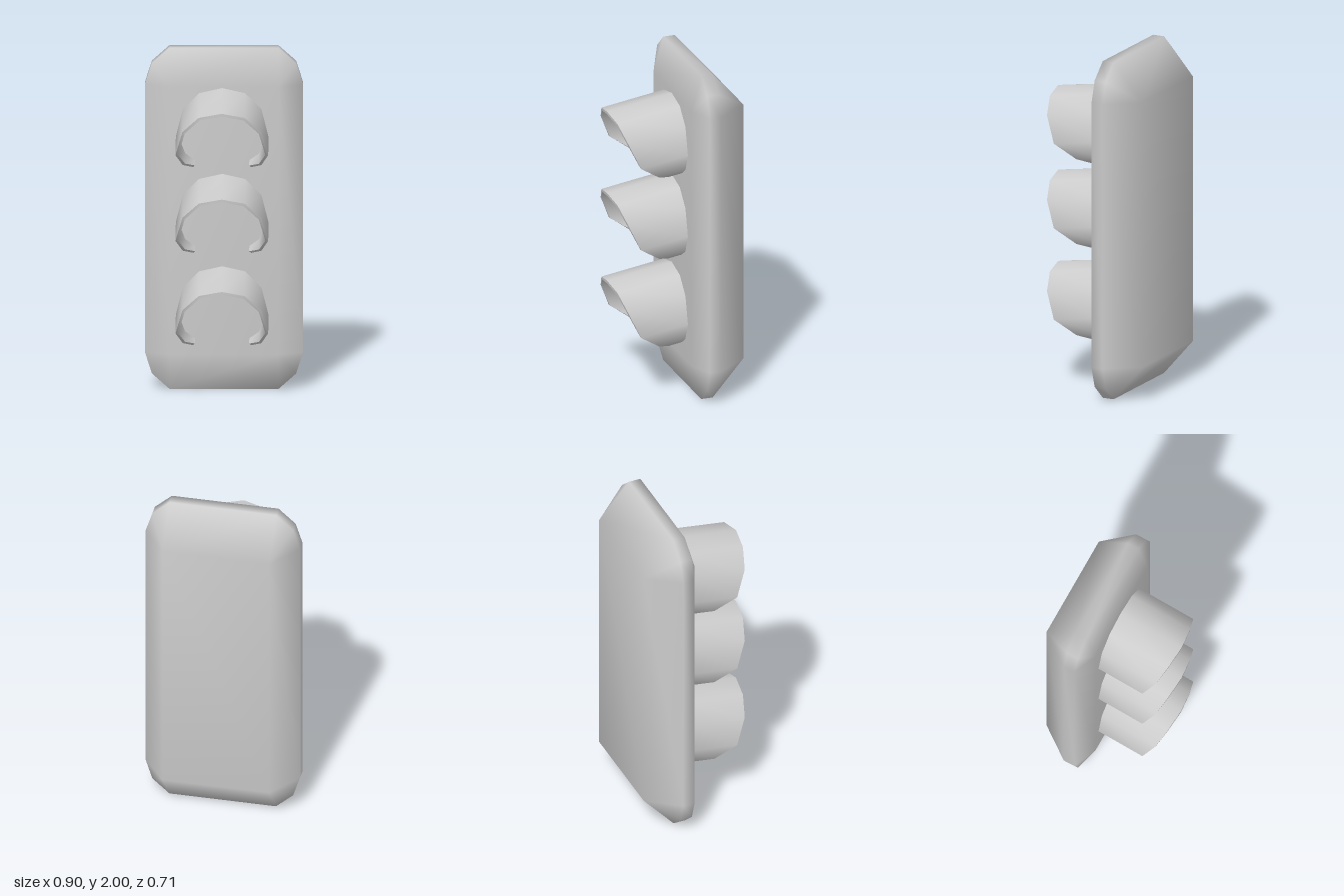
import * as THREE from 'three';
import { mergeGeometries, mergeVertices } from 'three/addons/utils/BufferGeometryUtils.js';

// Skin a list of equally long rows of [x, y, z] points
function skin(rows, closed = false) {
  const n = rows[0].length;
  const index = [];
  for (let r = 0; r < rows.length - 1; r++) {
    for (let i = 0; i < (closed ? n : n - 1); i++) {
      const j = (i + 1) % n;
      const a = r * n + i, b = r * n + j, c = a + n, d = b + n;
      index.push(a, c, b, b, c, d);
    }
  }
  const g = new THREE.BufferGeometry();
  g.setAttribute('position', new THREE.Float32BufferAttribute(rows.flat(2), 3));
  g.setIndex(index);
  return g;
}

// Housing: rounded outline bevelled towards smaller front and back panels
function housingGeometry() {
  const corner = [[0.14, 0], [0.1, 0.125], [0, 0.215]];
  const ring = (z, k) => {
    const pts = [];
    for (const [sx, sy] of [[1, 1], [-1, 1], [-1, -1], [1, -1]]) {
      const arc = sx * sy > 0 ? corner : [...corner].reverse();
      for (const [dx, dy] of arc) pts.push([sx * (0.312 + k * dx), 1 + sy * (0.785 + k * dy), z]);
    }
    return pts;
  };
  const rings = [ring(-0.04, 0), ring(-0.1, 1), ring(-0.17, 1), ring(-0.357, 0)];
  const sides = skin(rings, true);
  const last = 36;
  const caps = [0, 3, 6, 0, 6, 9, last, last + 6, last + 3, last, last + 9, last + 6];
  sides.setIndex([...sides.index.array, ...caps]);
  const g = mergeVertices(sides);
  g.computeVertexNormals();
  return g;
}

// Visor: thin open hood, drooping forward and cut away towards its lower ends
function visorGeometry() {
  // half profile: x, y and how far forward the rim reaches
  const half = [
    [0.165, -0.168, 0.04], [0.225, -0.125, 0.12], [0.265, -0.02, 0.245],
    [0.225, 0.14, 0.31], [0.132, 0.235, 0.34],
  ];
  const profile = [...half, [0, 0.265, 0.355], ...[...half].reverse().map(([x, y, z]) => [-x, y, z])];
  const back = -0.04;
  const row = (scale, front) => profile.map(([x, y, z]) => {
    const depth = front ? z : back;
    return [x * scale, y * scale - 0.152 * (depth - back), depth];
  });
  const outF = row(1, true), outB = row(1, false);
  const inF = row(0.94, true), inB = row(0.94, false);
  const end = profile.length - 1;
  const parts = [
    skin([outF, outB]),
    skin([inB, inF]),
    skin([inF, outF]),
    skin([[inF[0], inB[0]], [outF[0], outB[0]]]),
    skin([[outF[end], outB[end]], [inF[end], inB[end]]]),
  ];
  parts.forEach((p) => p.computeVertexNormals());
  return mergeGeometries(parts);
}

export function createModel() {
  const group = new THREE.Group();
  group.name = 'trafficSignal';
  const material = new THREE.MeshStandardMaterial({ color: 0xcccccc, side: THREE.DoubleSide });

  const housing = new THREE.Mesh(housingGeometry(), material);
  housing.name = 'housing';
  group.add(housing);

  // Three visors, one per lamp
  const visor = visorGeometry();
  [['topVisor', 1.513], ['middleVisor', 1.01], ['bottomVisor', 0.468]].forEach(([name, y]) => {
    const mesh = new THREE.Mesh(visor, material);
    mesh.name = name;
    mesh.position.set(-0.01, y, 0);
    group.add(mesh);
  });
  return group;
}
